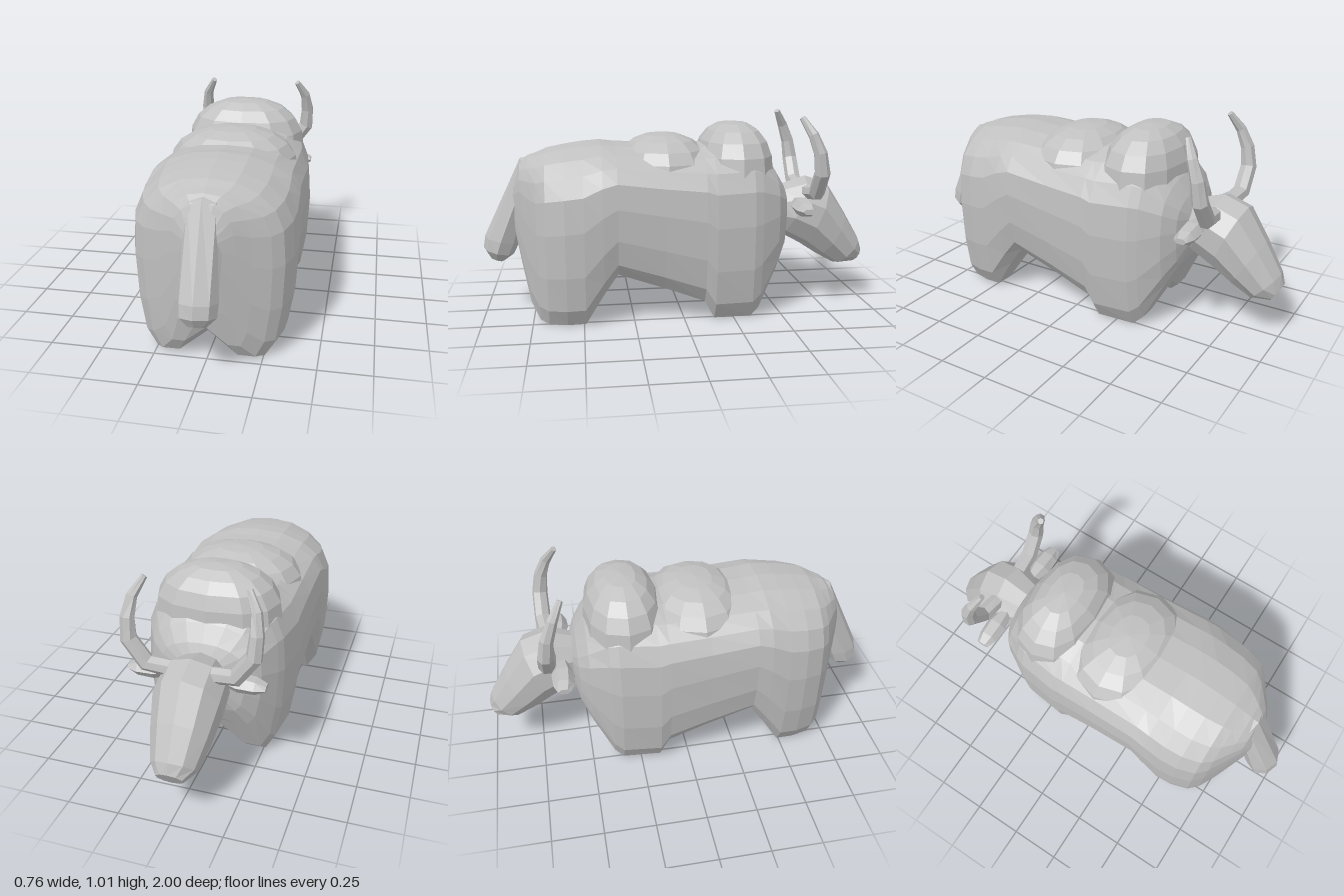
import * as THREE from 'three';

const hide = new THREE.MeshStandardMaterial({ color: 0xc0c0c0 });
hide.name = 'grey hide';

// Faceted skin through rings of [x, y, z] points, closed at both ends
function loft(rings) {
  const n = rings[0].length;
  const pos = rings.flat();
  const tris = [];
  for (let i = 0; i < rings.length - 1; i++) {
    for (let j = 0; j < n; j++) {
      const a = i * n + j, b = i * n + (j + 1) % n;
      tris.push([a, b, b + n], [a, b + n, a + n]);
    }
  }
  [0, rings.length - 1].forEach((r, end) => {
    const c = pos.length;
    pos.push([0, 1, 2].map(k => rings[r].reduce((s, p) => s + p[k], 0) / n));
    for (let j = 0; j < n; j++) {
      const a = r * n + j, b = r * n + (j + 1) % n;
      tris.push(end ? [a, b, c] : [b, a, c]);
    }
  });
  // Turn all faces outward, judged by the enclosed volume
  const v = pos.map(p => new THREE.Vector3(...p));
  const volume = tris.reduce((s, [a, b, c]) => s + v[a].dot(v[b].clone().cross(v[c])), 0);
  if (volume < 0) tris.forEach(t => t.reverse());
  const g = new THREE.BufferGeometry();
  g.setAttribute('position', new THREE.Float32BufferAttribute(pos.flat(), 3));
  g.setIndex(tris.flat());
  return facet(g);
}

function facet(geometry) {
  const g = geometry.toNonIndexed();
  g.computeVertexNormals();
  return g;
}

// Oval rings on the centre plane: [top z, top y, bottom z, bottom y, half width]
function ovalLoft(sections, sides) {
  return loft(sections.map(([tz, ty, bz, by, w]) =>
    Array.from({ length: sides }, (_, i) => {
      const a = i / sides * Math.PI * 2, t = (1 + Math.cos(a)) / 2;
      return [w * Math.sin(a), by + (ty - by) * t, bz + (tz - bz) * t];
    })));
}

// Boxy ellipsoid for the lumps on the back
function lump(rx, ry, rz, power) {
  const g = new THREE.SphereGeometry(1, 12, 10);
  const p = g.attributes.position;
  const soft = c => Math.sign(c) * Math.pow(Math.abs(c), power);
  for (let i = 0; i < p.count; i++) {
    p.setXYZ(i, soft(p.getX(i)) * rx, soft(p.getY(i)) * ry, soft(p.getZ(i)) * rz);
  }
  return facet(g);
}

export function createModel() {
  const group = new THREE.Group();
  const add = (name, geometry, x = 0, y = 0, z = 0) => {
    const m = new THREE.Mesh(geometry, hide);
    m.name = name;
    m.position.set(x, y, z);
    group.add(m);
  };

  // Body and legs in one skin: [z, half width, top, foot or belly, middle of belly]
  const sections = [
    [0.84, 0.07, 0.68, 0.48, 0.48],
    [0.80, 0.14, 0.79, 0.28, 0.29],
    [0.76, 0.21, 0.82, 0.10, 0.18],
    [0.715, 0.29, 0.835, 0.025, 0.14],
    [0.67, 0.34, 0.855, 0.01, 0.14],
    [0.58, 0.372, 0.872, 0.01, 0.15],
    [0.49, 0.38, 0.885, 0.015, 0.18],
    [0.40, 0.38, 0.89, 0.16, 0.22],
    [0.33, 0.375, 0.88, 0.26, 0.25],
    [0.10, 0.37, 0.87, 0.18, 0.22],
    [-0.10, 0.37, 0.87, 0.105, 0.18],
    [-0.15, 0.37, 0.88, 0.015, 0.16],
    [-0.34, 0.345, 0.89, 0.01, 0.15],
    [-0.385, 0.325, 0.87, 0.05, 0.17],
    [-0.48, 0.27, 0.76, 0.24, 0.25],
    [-0.53, 0.205, 0.68, 0.34, 0.34],
    [-0.56, 0.11, 0.61, 0.44, 0.44],
  ];
  const outline = [[0.35, 0.985], [0.65, 0.93], [0.86, 0.85], [0.97, 0.74],
    [1, 0.55], [0.97, 0.3], [0.89, 0.1], [0.75, 0], [0.47, 0]];
  add('body', loft(sections.map(([z, w, top, foot, mid]) => {
    const side = outline.map(([x, t]) => [x * w, foot + (top - foot) * t, z]);
    const other = side.map(([x, y]) => [-x, y, z]).reverse();
    return [[0, top, z], ...side, [0, mid, z], ...other];
  })));

  add('shoulderHump', lump(0.315, 0.26, 0.2, 0.85), 0, 0.72, -0.285);
  add('backLump', lump(0.325, 0.205, 0.25, 0.9), 0, 0.72, 0.08);

  // Head, from neck to muzzle
  add('head', ovalLoft([
    [-0.54, 0.64, -0.50, 0.42, 0.12],
    [-0.68, 0.685, -0.55, 0.38, 0.16],
    [-0.80, 0.645, -0.66, 0.32, 0.165],
    [-0.90, 0.49, -0.76, 0.255, 0.14],
    [-0.985, 0.345, -0.85, 0.205, 0.108],
    [-1.0, 0.29, -0.95, 0.21, 0.065],
  ], 10));

  // Tail, from root to tip
  add('tail', ovalLoft([
    [0.715, 0.82, 0.68, 0.78, 0.03],
    [0.80, 0.805, 0.72, 0.70, 0.088],
    [0.99, 0.41, 0.82, 0.37, 0.092],
    [1.0, 0.35, 0.85, 0.31, 0.088],
    [0.97, 0.30, 0.90, 0.275, 0.045],
  ], 8));

  for (const s of [1, -1]) {
    const side = s > 0 ? 'left' : 'right';

    // Horn: rings square to a curved, tapering path
    const path = [[0.1, 0.615, -0.67], [0.21, 0.63, -0.68], [0.29, 0.74, -0.68],
      [0.296, 0.84, -0.665], [0.284, 0.93, -0.63], [0.24, 1.01, -0.585]]
      .map(p => new THREE.Vector3(...p));
    const radii = [0.04, 0.042, 0.04, 0.034, 0.026, 0.015];
    add(side + 'Horn', loft(path.map((p, i) => {
      const dir = path[Math.min(i + 1, 5)].clone().sub(path[Math.max(i - 1, 0)]).normalize();
      const u = new THREE.Vector3(0, 0, 1).cross(dir).normalize();
      const v = dir.clone().cross(u);
      return Array.from({ length: 7 }, (_, k) => {
        const a = k / 7 * Math.PI * 2;
        const q = p.clone().addScaledVector(u, Math.cos(a) * radii[i])
          .addScaledVector(v, Math.sin(a) * radii[i]);
        return [q.x * s, q.y, q.z];
      });
    })));

    // Ear: flat rings [x, y, half height, half depth]
    add(side + 'Ear', loft([[0.09, 0.57, 0.02, 0.025], [0.2, 0.56, 0.044, 0.055],
      [0.28, 0.555, 0.037, 0.05], [0.33, 0.555, 0.015, 0.032]].map(([x, y, h, d]) =>
      Array.from({ length: 6 }, (_, k) => {
        const a = k / 6 * Math.PI * 2;
        return [x * s, y + Math.sin(a) * h, -0.61 + Math.cos(a) * d];
      }))));
  }

  return group;
}
